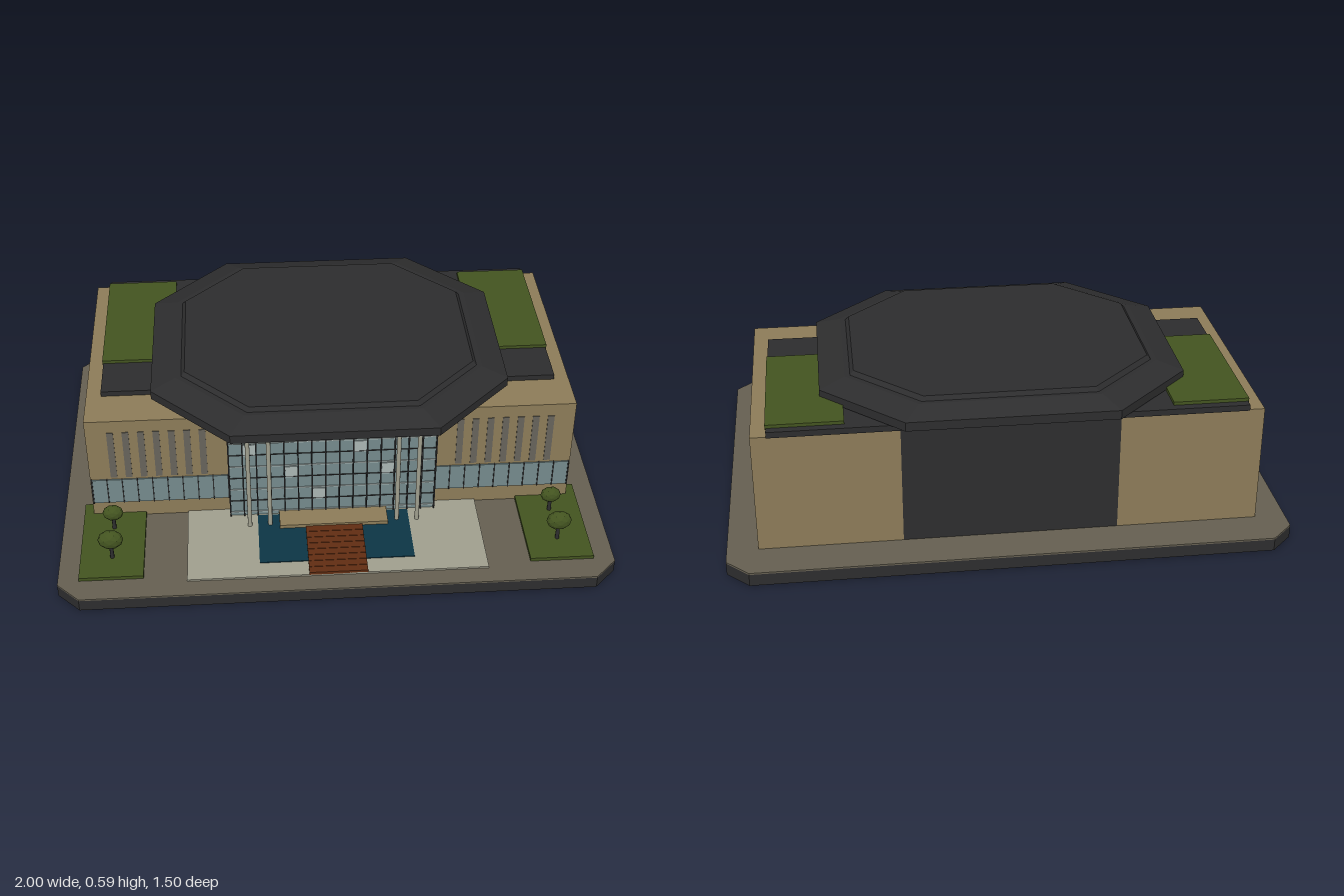
import * as THREE from 'three';

const mat = (name, color) => {
  const m = new THREE.MeshStandardMaterial({ color });
  m.name = name;
  return m;
};

export function createModel() {
  const stone = mat('sandstone', 0x8c7b58);
  const dark = mat('charcoal', 0x2d2d2e);
  const paving = mat('paving', 0x655f51);
  const glass = mat('glass', 0x748a8c);
  const pale = mat('paleGlass', 0xa9b5b3);
  const plazaStone = mat('plazaStone', 0xa09f8e);
  const water = mat('water', 0x0c3545);
  const timber = mat('timber', 0x612d12);
  const grass = mat('grass', 0x435420);
  const slitGrey = mat('slitGrey', 0x66635a);

  const model = new THREE.Group();
  model.name = 'civicHall';

  // Box given by its limits on each axis
  const box = (name, material, x0, x1, y0, y1, z0, z1, parent = model) => {
    const mesh = new THREE.Mesh(new THREE.BoxGeometry(x1 - x0, y1 - y0, z1 - z0), material);
    mesh.position.set((x0 + x1) / 2, (y0 + y1) / 2, (z0 + z1) / 2);
    mesh.name = name;
    parent.add(mesh);
    return mesh;
  };
  // Rectangle with cut corners, as [x, z] points running counter-clockwise seen from above
  const cutRect = (w, d, c) => [
    [w, d - c], [w, -d + c], [w - c, -d], [-w + c, -d],
    [-w, -d + c], [-w, d - c], [-w + c, d], [w - c, d],
  ];
  const slab = (name, material, outline, y0, y1) => {
    const shape = new THREE.Shape(outline.map(([x, z]) => new THREE.Vector2(x, -z)));
    const g = new THREE.ExtrudeGeometry(shape, { depth: y1 - y0, bevelEnabled: false });
    g.rotateX(-Math.PI / 2);
    const mesh = new THREE.Mesh(g, material);
    mesh.position.y = y0;
    mesh.name = name;
    model.add(mesh);
  };

  // Ground plinth
  slab('plinth', dark, cutRect(1, 0.75, 0.08), 0, 0.044);
  slab('pavingTop', paving, cutRect(1, 0.75, 0.08), 0.044, 0.05);

  // Forecourt
  box('plaza', plazaStone, -0.54, 0.54, 0.05, 0.057, 0.21, 0.68);
  box('pool', water, -0.28, 0.28, 0.055, 0.06, 0.35, 0.61);
  for (let i = 0; i < 8; i++) {
    const z = 0.43 + i * 0.0315;
    box('deckPlank', timber, -0.105, 0.105, 0.055, 0.066, z, z + 0.0295);
  }
  box('deckBase', dark, -0.104, 0.104, 0.055, 0.062, 0.43, 0.679);
  box('entranceStep', stone, -0.2, 0.2, 0.055, 0.074, 0.34, 0.43);

  // Central hall
  box('hallCore', dark, -0.382, 0.382, 0.05, 0.515, -0.6, 0.335);
  const curtain = new THREE.Group();
  curtain.name = 'curtainWall';
  model.add(curtain);
  box('curtainGlass', glass, -0.38, 0.38, 0.058, 0.505, 0.334, 0.342, curtain);
  const bay = 0.76 / 15;
  for (let i = 0; i <= 15; i++) {
    const x = -0.38 + i * bay;
    box('mullion', dark, x - 0.0025, x + 0.0025, 0.058, 0.508, 0.34, 0.35, curtain);
  }
  for (let i = 0; i < 9; i++) {
    const y = 0.075 + i * 0.0535;
    const major = i % 2 === 0;
    const h = major ? 0.002 : 0.001;
    box('transom', major ? pale : dark, -0.38, 0.38, y - h, y + h, 0.341, 0.346, curtain);
  }
  // Lighter panes, as [bay from the centre, height]
  for (const [b, y] of [[0, 0.476], [-6, 0.364], [2, 0.364], [-3, 0.257], [4, 0.257], [-1, 0.15]]) {
    const x = b * bay;
    box('palePane', pale, x - 0.022, x + 0.022, y - 0.025, y + 0.025, 0.341, 0.345, curtain);
  }

  // Portico columns
  for (const x of [-0.31, -0.235, 0.235, 0.31]) {
    const col = new THREE.Mesh(new THREE.CylinderGeometry(0.008, 0.008, 0.465, 12), plazaStone);
    col.position.set(x, 0.2875, 0.402);
    col.name = 'column';
    model.add(col);
  }

  const addTree = (x, z, y, rx, ry, rz) => {
    const tree = new THREE.Group();
    tree.name = 'tree';
    const trunk = new THREE.Mesh(new THREE.CylinderGeometry(0.006, 0.008, y - 0.06, 7), dark);
    trunk.position.set(x, (y + 0.06) / 2, z);
    trunk.name = 'trunk';
    const crownGeo = new THREE.IcosahedronGeometry(1, 1);
    crownGeo.scale(rx, ry, rz);
    crownGeo.computeVertexNormals();
    const crown = new THREE.Mesh(crownGeo, grass);
    crown.position.set(x, y, z);
    crown.name = 'crown';
    tree.add(trunk, crown);
    model.add(tree);
  };

  // Everything mirrored left and right
  for (const s of [-1, 1]) {
    const side = (name, m, a, b, ...rest) =>
      box(name, m, Math.min(s * a, s * b), Math.max(s * a, s * b), ...rest);

    side('wing', stone, 0.38, 0.89, 0.05, 0.49, -0.6, 0.305);
    side('wingGlazing', glass, 0.382, 0.888, 0.118, 0.225, 0.304, 0.31);
    for (let i = 0; i <= 9; i++) {
      const x = 0.384 + i * 0.0556;
      side('wingMullion', dark, x - 0.002, x + 0.002, 0.118, 0.227, 0.305, 0.314);
    }
    for (let i = 0; i < 7; i++) {
      const x = 0.47 + i * 0.0552;
      side('slitWindow', slitGrey, x - 0.012, x + 0.012, 0.235, 0.44, 0.302, 0.308);
    }

    // Flat roof and planted roof
    side('wingRoof', dark, 0.37, 0.835, 0.488, 0.51, -0.605, 0.15);
    side('roofGarden', grass, 0.57, 0.838, 0.505, 0.522, -0.575, -0.03);

    // Lawn and trees
    side('lawn', grass, 0.695, 0.925, 0.05, 0.063, 0.25, 0.655);
    addTree(s * 0.81, 0.55, 0.148, 0.046, 0.037, 0.031);
    addTree(s * 0.81, 0.39, 0.136, 0.038, 0.031, 0.026);
  }

  // Octagonal roof, built from scaled rings: [scale, height]
  const rings = [[1, 0.513], [1, 0.546], [0.86, 0.573], [0.83, 0.573], [0.81, 0.588]];
  const outline = cutRect(0.65, 0.575, 0.282);
  const pos = [];
  const point = ([k, y], j) => {
    const [x, z] = outline[j % 8];
    return [x * k, y, z * k];
  };
  for (let j = 0; j < 8; j++) {
    for (let i = 0; i < rings.length - 1; i++) {
      const a = point(rings[i], j), b = point(rings[i], j + 1);
      const c = point(rings[i + 1], j + 1), d = point(rings[i + 1], j);
      pos.push(...a, ...b, ...c, ...a, ...c, ...d);
    }
    const top = rings[rings.length - 1];
    pos.push(0, top[1], 0, ...point(top, j), ...point(top, j + 1));
    pos.push(0, rings[0][1], 0, ...point(rings[0], j + 1), ...point(rings[0], j));
  }
  const roofGeo = new THREE.BufferGeometry();
  roofGeo.setAttribute('position', new THREE.Float32BufferAttribute(pos, 3));
  roofGeo.computeVertexNormals();
  const roof = new THREE.Mesh(roofGeo, dark);
  roof.position.z = -0.085;
  roof.name = 'octagonRoof';
  model.add(roof);

  return model;
}
